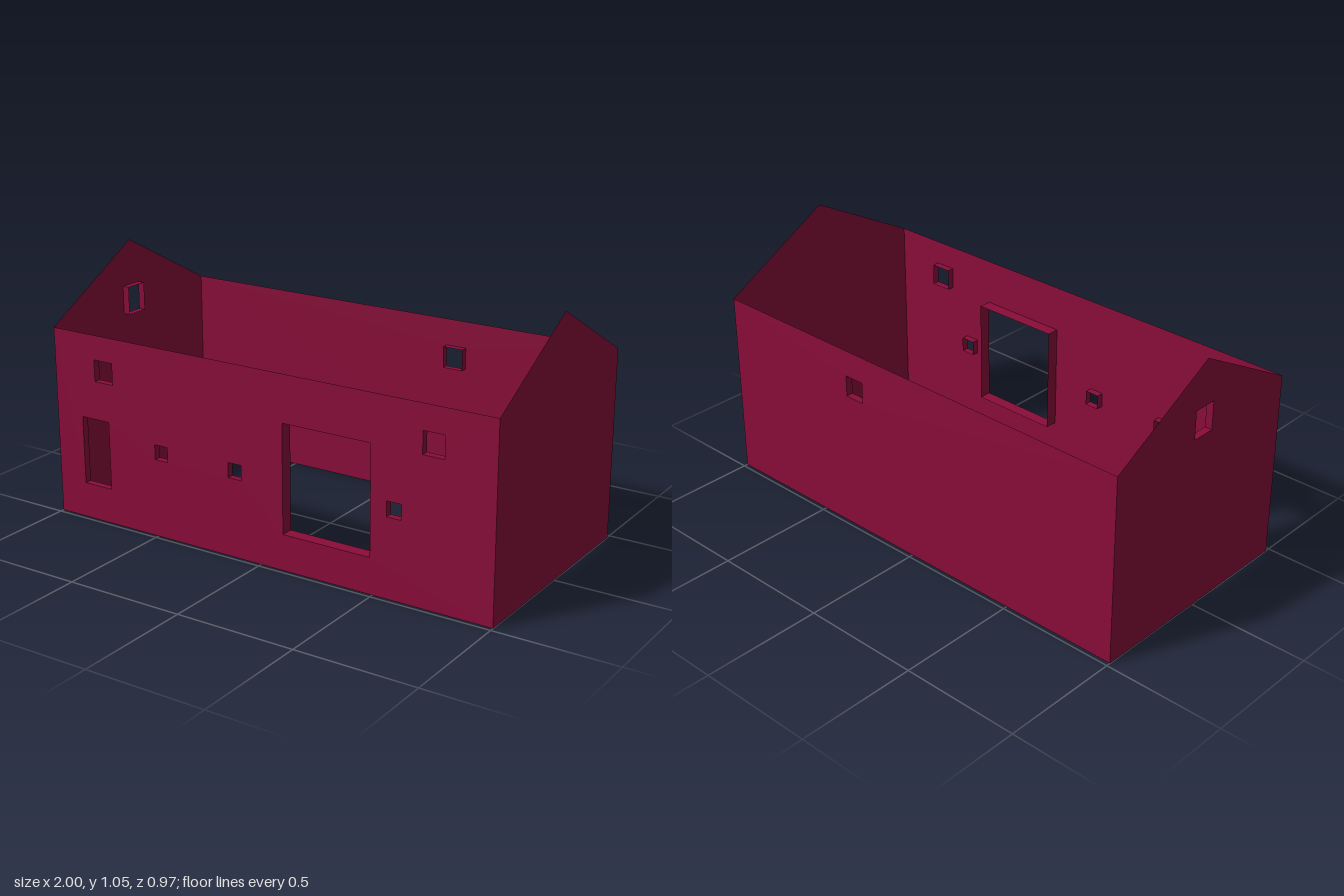
import * as THREE from 'three';
import { mergeGeometries } from 'three/addons/utils/BufferGeometryUtils.js';

const HALF_LENGTH = 1, HALF_DEPTH = 0.483, EAVE = 0.785, RIDGE = 1.047;

const wallRed = new THREE.MeshStandardMaterial({ color: 0x8a0d39, side: THREE.DoubleSide });
wallRed.name = 'wallRed';

// Four thin faces lining an opening, running inward from the wall plane
function revealGeometry({ x0, x1, y0, y1, depth = 0.03 }) {
  const w = x1 - x0, h = y1 - y0, cx = (x0 + x1) / 2, cy = (y0 + y1) / 2;
  const q = Math.PI / 2, z = -depth / 2;
  return mergeGeometries([
    new THREE.PlaneGeometry(w, depth).rotateX(q).translate(cx, y1, z),
    new THREE.PlaneGeometry(w, depth).rotateX(-q).translate(cx, y0, z),
    new THREE.PlaneGeometry(depth, h).rotateY(q).translate(x0, cy, z),
    new THREE.PlaneGeometry(depth, h).rotateY(-q).translate(x1, cy, z),
  ]);
}

// A wall sheet facing local +z, pierced by rectangular openings
function makeWall(name, outline, openings, angle, distance) {
  const wall = new THREE.Group();
  wall.name = name;
  const shape = new THREE.Shape(outline.map(([x, y]) => new THREE.Vector2(x, y)));
  for (const o of openings) {
    const { x0, x1, y0, y1 } = o;
    shape.holes.push(new THREE.Path([
      new THREE.Vector2(x0, y0), new THREE.Vector2(x0, y1),
      new THREE.Vector2(x1, y1), new THREE.Vector2(x1, y0),
    ]));
    const reveal = new THREE.Mesh(revealGeometry(o), wallRed);
    reveal.name = o.name + 'Reveal';
    wall.add(reveal);
  }
  const sheet = new THREE.Mesh(new THREE.ShapeGeometry(shape), wallRed);
  sheet.name = name + 'Sheet';
  wall.add(sheet);
  wall.rotation.y = angle;
  wall.position.set(Math.sin(angle) * distance, 0, Math.cos(angle) * distance);
  return wall;
}

export function createModel() {
  const house = new THREE.Group();
  house.name = 'houseShell';

  const longWall = [[-HALF_LENGTH, 0], [HALF_LENGTH, 0], [HALF_LENGTH, EAVE], [-HALF_LENGTH, EAVE]];
  const gable = [[-HALF_DEPTH, 0], [HALF_DEPTH, 0], [HALF_DEPTH, EAVE], [0, RIDGE], [-HALF_DEPTH, EAVE]];

  // Front wall openings: door, gate, small low windows, upper windows
  const frontOpenings = [
    { name: 'door', x0: -0.87, x1: -0.735, y0: 0.148, y1: 0.433 },
    { name: 'gate', x0: 0.103, x1: 0.488, y0: 0.148, y1: 0.593, depth: 0.053 },
  ];
  for (const x of [-0.473, -0.118, 0.588]) {
    frontOpenings.push({ name: 'lowWindow', x0: x - 0.031, x1: x + 0.031, y0: 0.324, y1: 0.386 });
  }
  for (const x of [-0.752, 0.747]) {
    frontOpenings.push({ name: 'upperWindow', x0: x - 0.045, x1: x + 0.045, y0: 0.593, y1: 0.683 });
  }
  const backOpenings = [{ name: 'backWindow', x0: -0.34, x1: -0.252, y0: 0.585, y1: 0.674 }];
  const gableOpenings = [{ name: 'gableWindow', x0: -0.05, x1: 0.05, y0: 0.738, y1: 0.856 }];

  house.add(
    makeWall('frontWall', longWall, frontOpenings, 0, HALF_DEPTH),
    makeWall('backWall', longWall, backOpenings, Math.PI, HALF_DEPTH),
    makeWall('leftGable', gable, [], Math.PI / 2, HALF_LENGTH),
    makeWall('rightGable', gable, gableOpenings, -Math.PI / 2, HALF_LENGTH),
  );
  return house;
}
